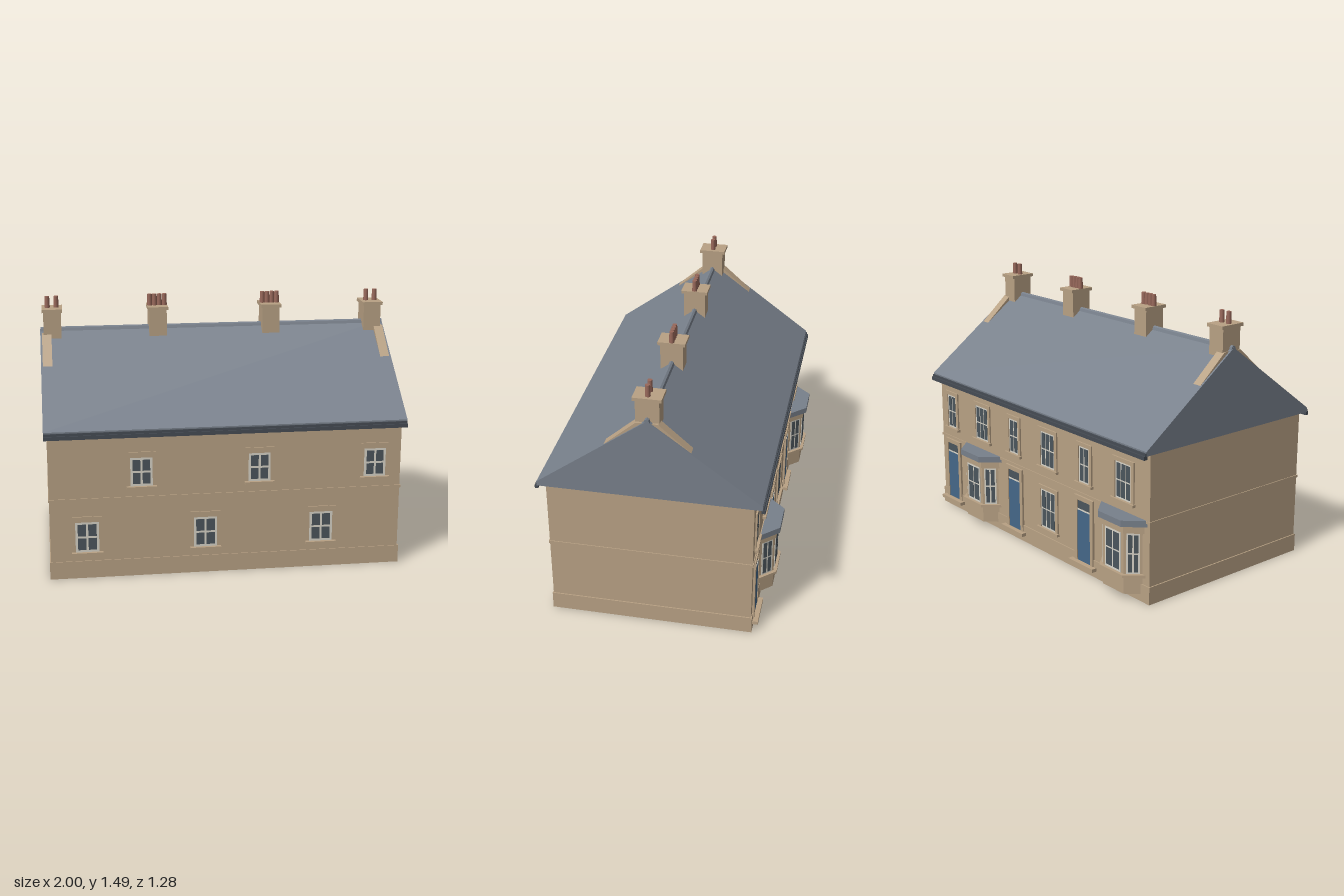
import * as THREE from 'three';

const mat = (name, color) => new THREE.MeshStandardMaterial({ name, color });

export function createModel() {
  const model = new THREE.Group();
  model.name = 'terracedHouses';
  const stone = mat('sandstone', 0xb8a184);
  const slate = mat('slate', 0x78808b);
  const iron = mat('gutterGrey', 0x464c54);
  const white = mat('framePaint', 0xd8d4c8);
  const glass = mat('glass', 0x4b555c);
  const blue = mat('doorBlue', 0x456788);
  const clay = mat('potClay', 0x98685a);

  const add = (parent, name, geo, material) => {
    const m = new THREE.Mesh(geo, material);
    m.name = name;
    parent.add(m);
    return m;
  };
  // Box given by its limits on each axis
  const box = (parent, name, material, x0, x1, y0, y1, z0, z1) => {
    const m = add(parent, name, new THREE.BoxGeometry(x1 - x0, y1 - y0, z1 - z0), material);
    m.position.set((x0 + x1) / 2, (y0 + y1) / 2, (z0 + z1) / 2);
    return m;
  };
  const group = (name, x, y, z, ry = 0, parent = model) => {
    const g = new THREE.Group();
    g.name = name;
    g.position.set(x, y, z);
    g.rotation.y = ry;
    parent.add(g);
    return g;
  };
  const shapeOf = pts => new THREE.Shape(pts.map(p => new THREE.Vector2(...p)));
  // Outline in (z, y) carried along x
  const gablePrism = (name, pts, x0, x1, material) => {
    const geo = new THREE.ExtrudeGeometry(shapeOf(pts.map(([z, y]) => [-z, y])), { depth: x1 - x0, bevelEnabled: false });
    geo.rotateY(Math.PI / 2).translate(x0, 0, 0);
    return add(model, name, geo, material);
  };
  // Half-hexagon plan, flat at the wall, raised from y0 to y1
  const bayPrism = (parent, name, a, b, d, y0, y1, material) => {
    const geo = new THREE.ExtrudeGeometry(shapeOf([[-a, 0], [a, 0], [b, -d], [-b, -d]]), { depth: y1 - y0, bevelEnabled: false });
    geo.rotateX(-Math.PI / 2).translate(0, y0, 0);
    return add(parent, name, geo, material);
  };
  // Painted sash with a grid of panes, bottom edge at y = 0, facing +z
  const sash = (parent, w, h, cols, rows, edge = 0.012, bar = 0.009) => {
    box(parent, 'sashFrame', white, -w / 2, w / 2, 0, h, -0.004, 0.004);
    const pw = (w - 2 * edge - (cols - 1) * bar) / cols;
    const ph = (h - 2 * edge - (rows - 1) * bar) / rows;
    for (let i = 0; i < cols; i++) for (let j = 0; j < rows; j++) {
      const x = -w / 2 + edge + i * (pw + bar), y = edge + j * (ph + bar);
      box(parent, 'windowPane', glass, x, x + pw, y, y + ph, 0, 0.0055);
    }
  };
  // Raised stone border: two jambs and a head
  const surround = (parent, w, h, t, depth) => {
    for (const s of [-1, 1]) {
      const x = s * (w / 2 + t / 2);
      box(parent, 'jamb', stone, x - t / 2, x + t / 2, 0, h, -0.005, depth);
    }
    box(parent, 'head', stone, -w / 2 - t, w / 2 + t, h, h + t, -0.005, depth);
  };

  const FRONT = 0.582, BACK = -0.538, RIDGE = 0.023;

  // Walls, plinth and string course
  box(model, 'walls', stone, -0.983, 0.983, 0, 0.84, BACK, FRONT);
  box(model, 'plinth', stone, -0.99, 0.99, 0, 0.1, BACK - 0.006, FRONT + 0.005);
  box(model, 'stringCourse', stone, -0.988, 0.988, 0.45, 0.465, BACK - 0.005, FRONT + 0.005);

  // Roof, ridge and gutters
  gablePrism('roof', [[0.628, 0.835], [0.628, 0.86], [RIDGE, 1.303], [-0.582, 0.86], [-0.582, 0.835]], -1, 1, slate);
  gablePrism('ridgeTiles', [[0.04, 1.288], [0.034, 1.308], [RIDGE, 1.314], [0.012, 1.308], [0.006, 1.288]], -0.998, 0.998, slate);
  box(model, 'frontGutter', iron, -1, 1, 0.817, 0.838, 0.62, 0.638);
  box(model, 'backGutter', iron, -1, 1, 0.817, 0.838, -0.597, -0.576);
  box(model, 'frontFascia', iron, -0.999, 0.999, 0.833, 0.852, 0.622, 0.632);
  box(model, 'backFascia', iron, -0.999, 0.999, 0.833, 0.852, -0.589, -0.577);

  // Raised copings beside the end chimneys
  for (const s of [-1, 1]) {
    const xs = [s * 0.99, s * 0.937].sort((a, b) => a - b);
    gablePrism('gableCoping', [[0.265, 1.124], [0.083, 1.283], [-0.037, 1.283], [-0.219, 1.124], [RIDGE, 1.29]], xs[0], xs[1], stone);
  }

  // Chimneys with their pots
  const pot = new THREE.CylinderGeometry(0.013, 0.015, 0.068, 12);
  for (const [x, pots, gap] of [[-0.93, 2, 0.05], [-0.33, 4, 0.028], [0.325, 4, 0.028], [0.925, 2, 0.05]]) {
    const g = group('chimney', x, 0, RIDGE);
    box(g, 'chimneyShaft', stone, -0.05, 0.05, 1.25, 1.41, -0.063, 0.063);
    box(g, 'chimneyCap', stone, -0.058, 0.058, 1.407, 1.425, -0.077, 0.077);
    for (let i = 0; i < pots; i++) {
      add(g, 'chimneyPot', pot, clay).position.set((i - (pots - 1) / 2) * gap, 1.456, 0);
    }
  }

  // Front windows with lintel and sill
  const frontWindow = (x, y, w, h) => {
    const g = group('frontWindow', x, y, FRONT);
    sash(g, w, h, 2, 2, 0.013, 0.012);
    box(g, 'lintel', stone, -w / 2 - 0.019, w / 2 + 0.019, h, h + 0.032, -0.005, 0.007);
    box(g, 'sill', stone, -w / 2 - 0.022, w / 2 + 0.022, -0.014, 0, -0.005, 0.022);
  };
  for (const i of [0, 1, 2]) {
    frontWindow(-0.475 + i * 0.655, 0.525, 0.122, 0.163);
    frontWindow(-0.78 + i * 0.657, 0.153, 0.13, 0.175);
  }

  // Back windows with stone surround
  const backWindow = (x, y, w, h, cols) => {
    const g = group('backWindow', x, y, BACK, Math.PI);
    sash(g, w, h, cols, 2, 0.01, 0.008);
    surround(g, w, h, 0.022, 0.009);
    box(g, 'sill', stone, -w / 2 - 0.03, w / 2 + 0.03, -0.015, 0, -0.005, 0.02);
  };
  const doorXs = [0.862, 0.207, -0.448], baseXs = [0.535, -0.12, -0.776];
  for (const x of doorXs) backWindow(x, 0.527, 0.088, 0.208, 2);
  for (const x of baseXs) backWindow(x, 0.527, 0.128, 0.208, 3);
  backWindow(baseXs[1], 0.152, 0.135, 0.235, 3);

  // Doors with fanlight and step
  for (const x of doorXs) {
    const g = group('doorway', x, 0.06, BACK, Math.PI);
    box(g, 'door', blue, -0.056, 0.056, 0, 0.3, -0.004, 0.008);
    box(g, 'transom', white, -0.056, 0.056, 0.3, 0.308, -0.004, 0.008);
    box(g, 'fanlight', glass, -0.056, 0.056, 0.308, 0.36, -0.004, 0.005);
    surround(g, 0.112, 0.36, 0.025, 0.012);
    box(g, 'doorStep', stone, -0.105, 0.105, -0.02, 0, -0.005, 0.037);
  }

  // Bay windows
  for (const x of [baseXs[0], baseXs[2]]) {
    const g = group('bayWindow', x, 0, BACK, Math.PI);
    const a = 0.152, b = 0.084, d = 0.072;
    bayPrism(g, 'bayWall', a, b, d, 0.04, 0.435, stone);
    bayPrism(g, 'baySill', a + 0.024, b + 0.009, d + 0.02, 0.14, 0.155, stone);
    bayPrism(g, 'bayHead', a + 0.012, b + 0.005, d + 0.009, 0.387, 0.43, stone);
    bayPrism(g, 'bayRoof', a + 0.035, b + 0.009, d + 0.029, 0.43, 0.465, slate);
    sash(group('bayFrontLight', 0, 0.157, d, 0, g), 0.128, 0.228, 2, 2);
    for (const s of [-1, 1]) {
      const light = group('baySideLight', s * (a + b) / 2, 0.157, d / 2, s * Math.atan2(d, a - b), g);
      sash(light, 0.072, 0.228, 2, 2, 0.009, 0.009);
    }
  }
  return model;
}
